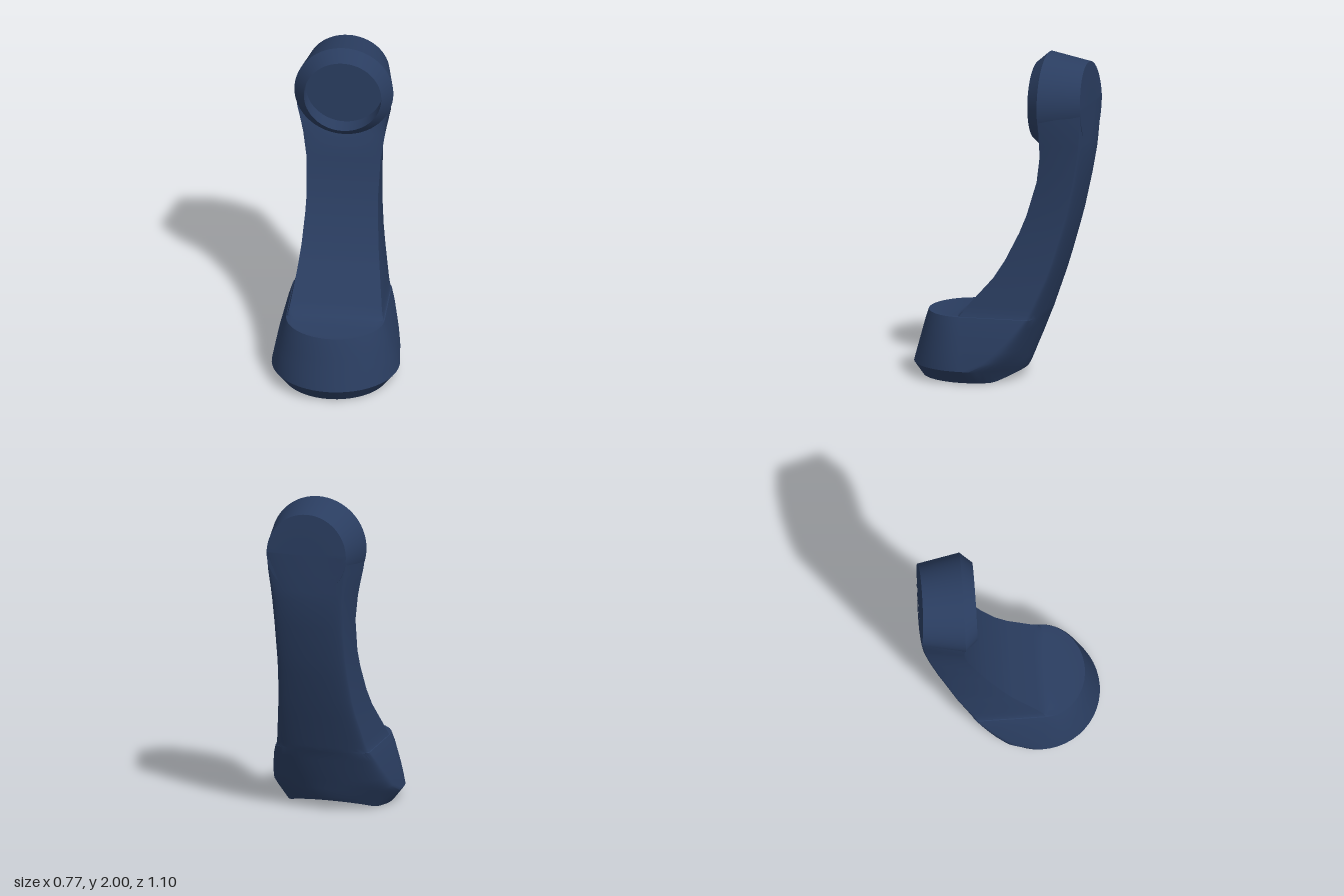
import * as THREE from 'three';
import { toCreasedNormals } from 'three/addons/utils/BufferGeometryUtils.js';

const CREASE = 0.6;
const ARC = 24; // segments in each half of a cross-section

// Horizontal cross-section: front half-ellipse, straight sides, back half-ellipse.
// [y, half width, front centre z, front bulge, side's back edge z, back z]
const rows = [
  [0.08, 0.387, 0.175, 0.375, 0.165, -0.155],
  [0.135, 0.375, 0.185, 0.35, 0.035, -0.175],
  [0.2, 0.36, 0.19, 0.327, -0.035, -0.2],
  [0.27, 0.34, 0.195, 0.303, -0.1, -0.228],
  [0.34, 0.32, 0.2, 0.279, -0.157, -0.253],
  [0.398, 0.298, 0.2, 0.26, -0.203, -0.275],
  [0.4, 0.293, 0.2, 0.05, -0.205, -0.276],
  [0.41, 0.289, 0.2, 0.02, -0.21, -0.28],
  [0.43, 0.283, 0.185, 0, -0.22, -0.287],
  [0.47, 0.275, 0.155, 0, -0.24, -0.3],
  [0.64, 0.247, 0.005, 0, -0.315, -0.358],
  [0.75, 0.233, -0.065, 0, -0.352, -0.393],
  [0.92, 0.22, -0.15, 0, -0.402, -0.444],
  [1.03, 0.216, -0.195, 0, -0.434, -0.473],
  [1.24, 0.224, -0.26, 0, -0.48, -0.518],
  [1.4, 0.247, -0.285, 0, -0.508, -0.545],
  [1.47, 0.26, -0.285, -0.05, -0.519, -0.547],
  [1.58, 0.283, -0.285, -0.065, -0.53, -0.548],
  [1.7, 0.296, -0.285, -0.065, -0.54, -0.547],
];

function section([y, w, zc, bulge, edge, back]) {
  const pts = [];
  // the back of the neck narrows toward the head
  const wb = w - 0.046 * THREE.MathUtils.smoothstep(y, 1.1, 1.7);
  for (let i = 0; i <= ARC; i++) {
    const t = -Math.PI / 2 + (Math.PI * i) / ARC;
    pts.push([w * Math.sin(t), y, zc + bulge * Math.cos(t)]);
  }
  for (let i = 0; i <= ARC; i++) {
    const t = Math.PI / 2 + (Math.PI * i) / ARC;
    pts.push([wb * Math.sin(t), y, edge + (edge - back) * Math.cos(t)]);
  }
  return pts;
}

// Skin a list of closed rings
function loft(rings) {
  const n = rings[0].length;
  const index = [];
  for (let r = 0; r < rings.length - 1; r++) {
    for (let j = 0; j < n; j++) {
      const a = r * n + j, b = r * n + ((j + 1) % n);
      index.push(a, b, a + n, b, b + n, a + n);
    }
  }
  const geo = new THREE.BufferGeometry();
  geo.setAttribute('position', new THREE.Float32BufferAttribute(rings.flat(2), 3));
  geo.setIndex(index);
  return toCreasedNormals(geo, CREASE);
}

export function createModel() {
  const group = new THREE.Group();
  const material = new THREE.MeshStandardMaterial({ color: 0x2a3d60 });
  const add = (name, geo) => {
    const mesh = new THREE.Mesh(geo, material);
    mesh.name = name;
    group.add(mesh);
  };

  // Base and curved neck, starting at the ceiling of the socket underneath
  const outline = section([0, 0.325, 0.17, 0.325, 0.17, -0.14]);
  const ceiling = outline.map(([x, , z]) => [x, 0.16, z]);
  const centre = outline.map(() => [0, 0.16, 0.17]);
  // the rim lifts off the ground toward the back
  const rim = outline.map(([x, , z]) => [x, Math.max(0, -z) * 0.4, z]);
  add('baseAndNeck', loft([centre, ceiling, rim, ...rows.map(section)]));

  // Round head with chamfered front rim and recessed face
  const profile = [
    [0, -0.543], [0.25, -0.54], [0.3, -0.28], [0.235, -0.205], [0.235, -0.32], [0, -0.32],
  ].map(([r, z]) => new THREE.Vector2(r, z));
  const head = new THREE.LatheGeometry(profile, 64).rotateX(Math.PI / 2);
  const p = head.attributes.position;
  for (let i = 0; i < p.count; i++) {
    // the back leans forward above the middle
    if (p.getZ(i) < -0.5) p.setZ(i, p.getZ(i) + 0.06 * Math.max(0, p.getY(i)));
  }
  head.translate(0, 1.7, 0);
  add('head', toCreasedNormals(head, CREASE));

  return group;
}
